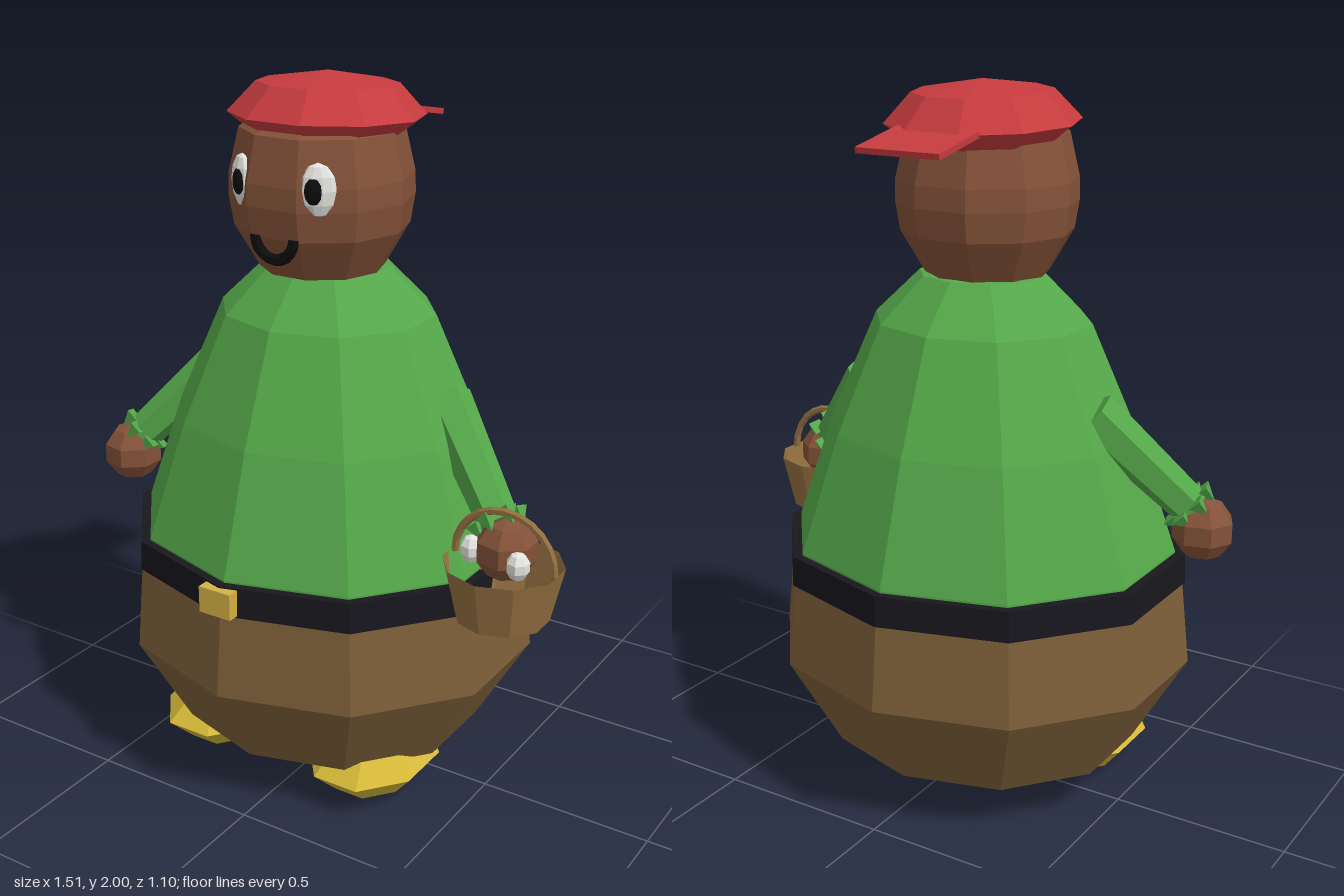
import * as THREE from 'three';

const MID = -0.04; // body axis in x
const COLORS = {
  green: 0x55a84a, brown: 0x7d5f39, skin: 0x845239, red: 0xc63b3e, black: 0x17171d,
  gold: 0xd4b044, yellow: 0xd4b838, wicker: 0x947041, white: 0xe4e4e0, ink: 0x0c0c0c,
};

function material(color, side = THREE.FrontSide) {
  return new THREE.MeshStandardMaterial({ color, flatShading: true, side });
}

function add(parent, name, geometry, color, position = [0, 0, 0], side) {
  const mesh = new THREE.Mesh(geometry, material(color, side));
  mesh.name = name;
  mesh.position.set(...position);
  parent.add(mesh);
  return mesh;
}

// Ten-sided turned shape; profile is [radius, y] from bottom to top
function turned(profile, phase = 0, sides = 10) {
  return new THREE.LatheGeometry(profile.map(([r, y]) => new THREE.Vector2(r, y)), sides, phase);
}

// Tapered cylinder between two points
function limb(from, to, r0, r1, sides, open = false) {
  const a = new THREE.Vector3(...from), b = new THREE.Vector3(...to);
  const dir = b.clone().sub(a);
  const geometry = new THREE.CylinderGeometry(r1, r0, dir.length(), sides, 1, open);
  geometry.applyQuaternion(new THREE.Quaternion().setFromUnitVectors(new THREE.Vector3(0, 1, 0), dir.normalize()));
  const c = a.add(b).multiplyScalar(0.5);
  return geometry.translate(c.x, c.y, c.z);
}

function buildBody(root) {
  const body = new THREE.Group();
  body.name = 'body';
  body.position.x = MID;
  root.add(body);

  const trousers = add(body, 'trousers', turned([[0, 0.14], [0.455, 0.14], [0.61, 0.4], [0.583, 0.65], [0, 0.65]]), COLORS.brown);
  const belt = add(body, 'belt', turned([[0.5, 0.64], [0.592, 0.64], [0.588, 0.725], [0.5, 0.725]]), COLORS.black);
  const tunic = add(body, 'tunic', turned([[0.56, 0.7], [0.56, 0.73], [0.445, 1.06], [0.31, 1.36], [0.18, 1.485], [0, 1.5]]), COLORS.green);
  [trousers, belt, tunic].forEach((m) => { m.scale.z = 0.905; });
  add(body, 'buckle', new THREE.BoxGeometry(0.1, 0.075, 0.04), COLORS.gold, [0, 0.683, 0.532]);
}

function buildHead(root) {
  const head = new THREE.Group();
  head.name = 'head';
  head.position.x = MID;
  root.add(head);

  const half = Math.PI / 10;
  add(head, 'face', turned([[0, 1.46], [0.17, 1.485], [0.237, 1.6], [0.25, 1.68], [0.248, 1.74], [0.22, 1.86], [0.12, 1.92], [0, 1.93]], half),
    COLORS.skin, [0, 0, 0.025]);

  // Eyes sit turned outward on the face
  for (const s of [-1, 1]) {
    const eye = new THREE.Group();
    eye.name = s > 0 ? 'leftEye' : 'rightEye';
    eye.position.set(s * 0.117, 1.737, 0.222);
    eye.rotation.y = s * 0.5;
    head.add(eye);
    add(eye, 'eyeWhite', new THREE.SphereGeometry(1, 10, 6), COLORS.white).scale.set(0.048, 0.071, 0.025);
    add(eye, 'pupil', new THREE.SphereGeometry(1, 10, 6), COLORS.ink, [-s * 0.01, 0, 0.016]).scale.set(0.025, 0.036, 0.016);
  }

  // Smile: lower half ring
  const smile = add(head, 'smile', new THREE.TorusGeometry(0.06, 0.016, 6, 10, Math.PI), COLORS.ink, [0, 1.607, 0.25]);
  smile.rotation.z = Math.PI;
  for (const s of [-1, 1]) {
    const end = add(smile, 'smileEnd', new THREE.CircleGeometry(0.016, 6), COLORS.ink, [s * 0.06, 0, 0]);
    end.rotation.x = Math.PI / 2;
  }

  // Cap worn backwards
  const cap = new THREE.Group();
  cap.name = 'cap';
  head.add(cap);
  const crown = add(cap, 'capCrown', turned([[0, -0.05], [0.2, -0.05], [0.265, 0], [0.19, 0.08], [0, 0.11]], half), COLORS.red, [0, 1.89, 0]);
  crown.rotation.x = -0.04;
  const bill = add(cap, 'capBill', new THREE.BoxGeometry(0.25, 0.016, 0.21), COLORS.red, [0.003, 1.867, -0.295]);
  bill.rotation.x = -0.19;
}

function buildArm(root, s) {
  const arm = new THREE.Group();
  arm.name = s > 0 ? 'leftArm' : 'rightArm';
  arm.position.x = MID;
  root.add(arm);
  add(arm, 'sleeve', limb([s * 0.36, 1.15, -0.03], [s * 0.6, 0.89, 0.1], 0.07, 0.055, 6), COLORS.green);

  // Ragged cuff of small pointed leaves around the wrist
  const axis = new THREE.Vector3(s * 0.24, -0.26, 0.13).normalize();
  const cuff = new THREE.Group();
  cuff.name = 'cuff';
  cuff.position.set(s * 0.595, 0.895, 0.097);
  cuff.quaternion.setFromUnitVectors(new THREE.Vector3(0, 1, 0), axis);
  arm.add(cuff);
  for (let i = 0; i < 6; i++) {
    const a = (i * Math.PI) / 3;
    add(cuff, 'cuffLeaf', new THREE.ConeGeometry(0.028, 0.05, 4), COLORS.green, [0.058 * Math.sin(a), 0.012, 0.058 * Math.cos(a)]);
  }
  add(arm, 'hand', new THREE.SphereGeometry(0.088, 7, 5), COLORS.skin, [s * 0.63, 0.832, 0.115]);
}

function buildFoot(root, s) {
  const foot = add(root, s > 0 ? 'leftShoe' : 'rightShoe',
    turned([[0, 0], [0.115, 0.03], [0.18, 0.105], [0.11, 0.18], [0, 0.185]], Math.PI / 8, 8),
    COLORS.yellow, [MID + s * 0.257, 0.003, 0.157]);
  foot.scale.z = 1.26;
}

function buildBasket(root) {
  const basket = new THREE.Group();
  basket.name = 'basket';
  basket.position.set(0.603, 0, 0.152);
  root.add(basket);
  add(basket, 'basketWall', new THREE.CylinderGeometry(0.162, 0.127, 0.155, 10, 1, true), COLORS.wicker, [0, 0.733, 0], THREE.DoubleSide);
  add(basket, 'basketHandle', new THREE.TorusGeometry(0.145, 0.011, 6, 12, Math.PI), COLORS.wicker, [0, 0.808, 0]);
  for (const [x, z] of [[0.055, 0.03], [-0.095, 0.0]]) {
    add(basket, 'egg', new THREE.SphereGeometry(0.033, 7, 5), COLORS.white, [x, 0.825, z]).scale.y = 1.2;
  }
}

export function createModel() {
  const root = new THREE.Group();
  root.name = 'figure';
  buildBody(root);
  buildHead(root);
  for (const s of [-1, 1]) {
    buildArm(root, s);
    buildFoot(root, s);
  }
  buildBasket(root);
  return root;
}
